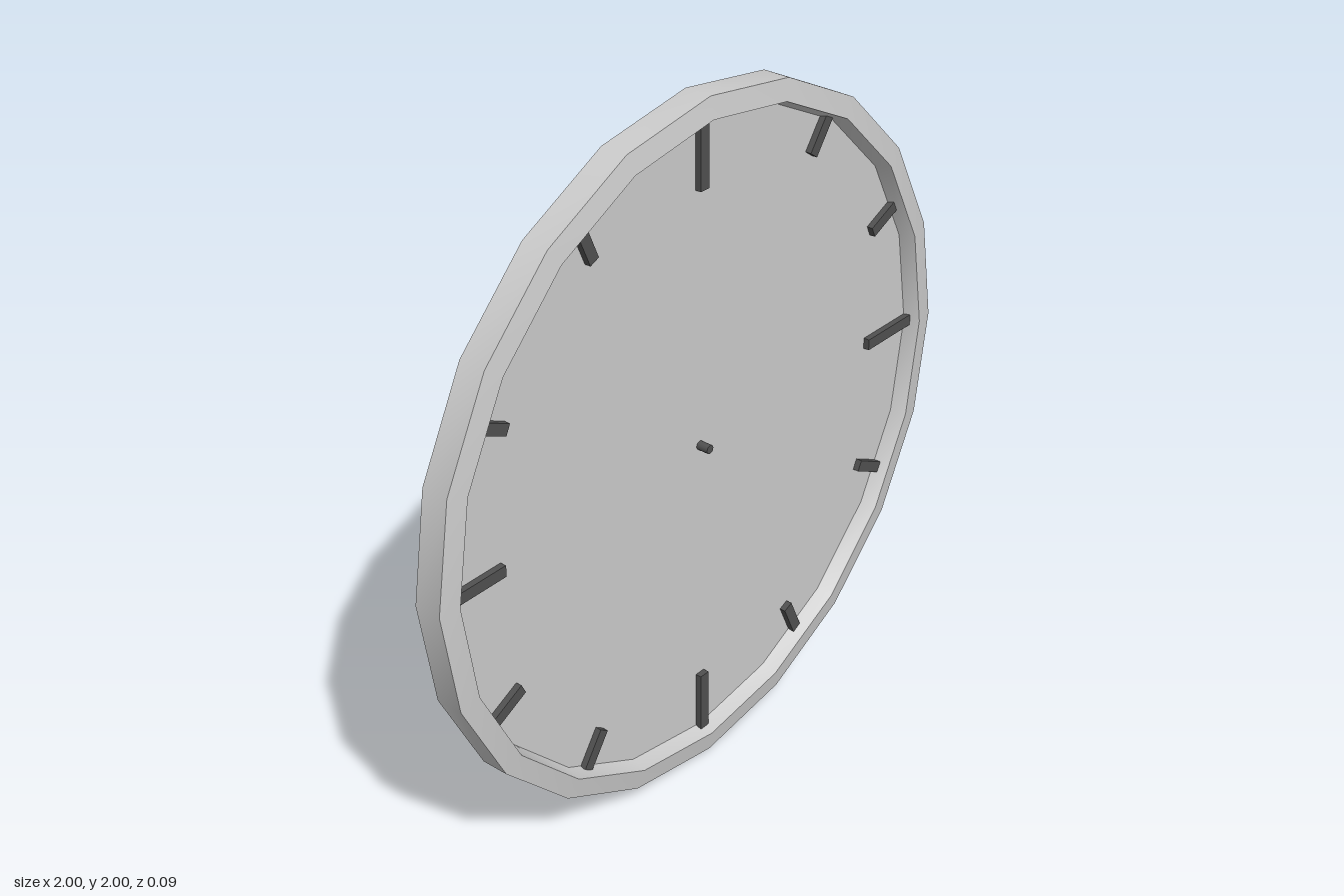
import * as THREE from 'three';
import { toCreasedNormals } from 'three/addons/utils/BufferGeometryUtils.js';

const FACE_Z = 0; // plane of the dial

export function createModel() {
  const model = new THREE.Group();
  model.name = 'wallClock';
  const bodyMaterial = new THREE.MeshStandardMaterial({ color: 0xcccccc });
  const darkMaterial = new THREE.MeshStandardMaterial({ color: 0x505050 });

  function add(name, geometry, material, x, y, z) {
    const mesh = new THREE.Mesh(geometry, material);
    mesh.name = name;
    mesh.position.set(x, y, z);
    model.add(mesh);
    return mesh;
  }

  // Body: back plate, side, sloped rim, inner wall and recessed dial
  const profile = [
    [0, -0.045], [1, -0.045], [1, 0.035], [0.94, 0.045], [0.926, FACE_Z], [0, FACE_Z],
  ].map(([r, z]) => new THREE.Vector2(r, z));
  const body = new THREE.LatheGeometry(profile, 20).rotateX(Math.PI / 2);
  add('clockBody', toCreasedNormals(body, Math.PI / 6), bodyMaterial, 0, 1, 0);

  // Hour marks: inner and outer end of each bar, relative to the dial centre
  const marks = [
    [0, 0.745, 0, 0.935], [0.445, 0.685, 0.51, 0.775], [0.73, 0.355, 0.83, 0.4],
    [0.73, 0, 0.935, 0], [0.71, -0.395, 0.81, -0.445], [0.38, -0.72, 0.425, -0.82],
    [0, -0.745, 0, -0.93], [-0.42, -0.69, -0.485, -0.785], [-0.715, -0.38, -0.815, -0.43],
    [-0.755, 0, -0.935, 0], [-0.725, 0.385, -0.82, 0.43], [-0.41, 0.705, -0.455, 0.81],
  ];
  const depth = 0.026;
  marks.forEach(([x0, y0, x1, y1], hour) => {
    const length = Math.hypot(x1 - x0, y1 - y0);
    const bar = add(`hourMark${hour || 12}`, new THREE.BoxGeometry(length, 0.033, depth),
      darkMaterial, (x0 + x1) / 2, 1 + (y0 + y1) / 2, FACE_Z + 0.005);
    bar.rotation.z = Math.atan2(y1 - y0, x1 - x0);
  });

  // Centre pin
  const pin = new THREE.CylinderGeometry(0.013, 0.013, 0.04, 12).rotateX(Math.PI / 2);
  add('centrePin', pin, darkMaterial, 0, 1, FACE_Z + 0.016);

  return model;
}
